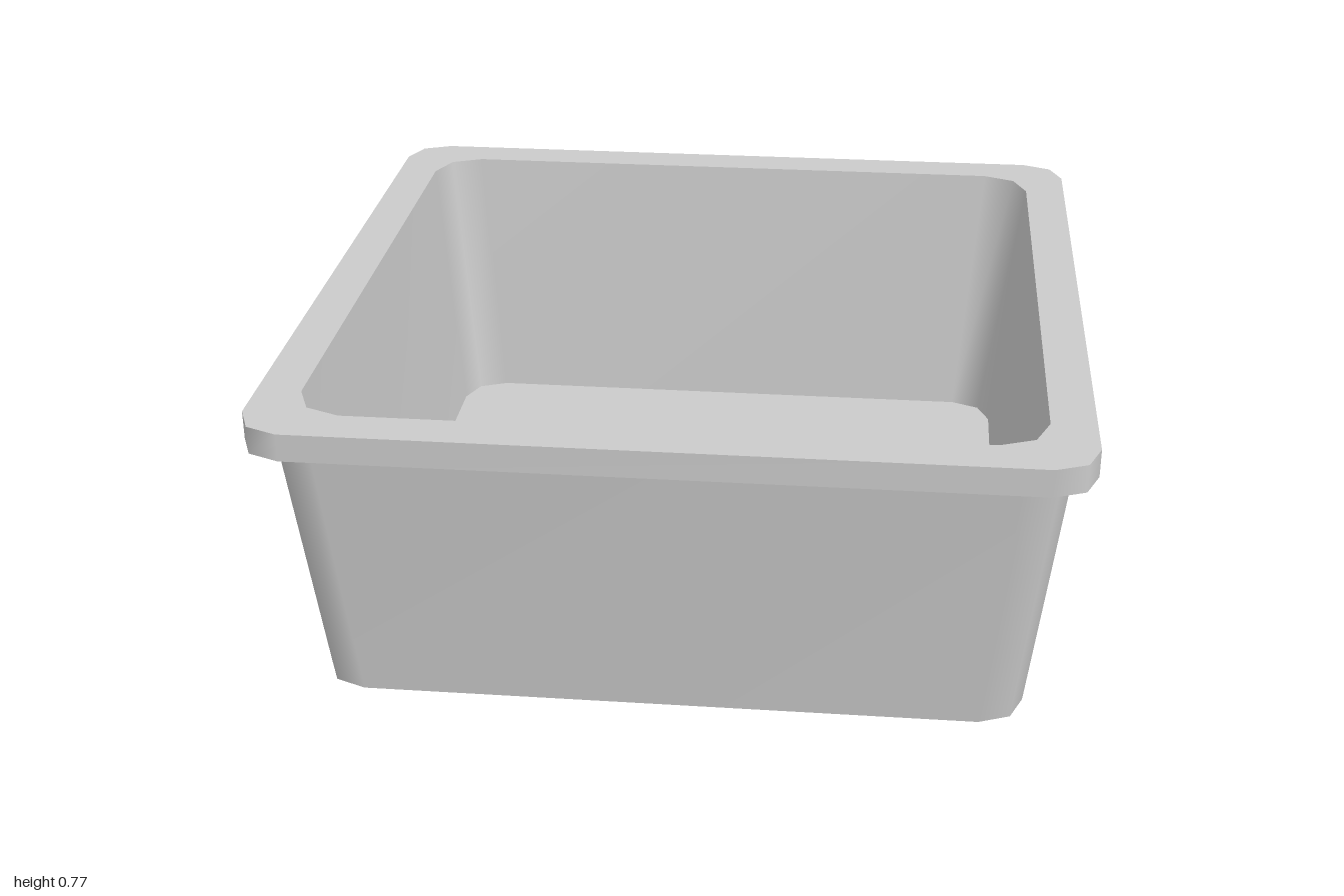
import * as THREE from 'three';

const CORNER_STEPS = 2;

// Rounded-square loop at height y: half = half width, r = corner radius
function ring([half, y, r]) {
  const points = [];
  for (let c = 0; c < 4; c++) {
    const mid = (c + 0.5) * Math.PI / 2;
    const cx = Math.sign(Math.cos(mid)) * (half - r);
    const cz = Math.sign(Math.sin(mid)) * (half - r);
    for (let s = 0; s <= CORNER_STEPS; s++) {
      const a = (c + s / CORNER_STEPS) * Math.PI / 2;
      points.push(cx + r * Math.cos(a), y, cz + r * Math.sin(a));
    }
  }
  return points;
}

// Band of faces between two loops, smooth around its corners
function band(from, to, name, material) {
  const n = 4 * (CORNER_STEPS + 1);
  const index = [];
  for (let i = 0; i < n; i++) {
    const j = (i + 1) % n;
    index.push(i, n + i, j, n + i, n + j, j);
  }
  const geometry = new THREE.BufferGeometry();
  geometry.setAttribute('position', new THREE.Float32BufferAttribute([...ring(from), ...ring(to)], 3));
  geometry.setIndex(index);
  geometry.computeVertexNormals();
  const mesh = new THREE.Mesh(geometry, material);
  mesh.name = name;
  return mesh;
}

export function createModel() {
  const model = new THREE.Group();
  model.name = 'squareTub';
  const material = new THREE.MeshStandardMaterial({ color: 0xcccccc });

  // Profile from the underside, up the outside, over the rim and down to the floor
  const profile = [
    [0, 0, 0],
    [0.875, 0, 0.11],
    [0.95, 0.7, 0.12],
    [1, 0.7, 0.11],
    [1, 0.77, 0.11],
    [0.89, 0.77, 0.12],
    [0.82, 0.04, 0.11],
    [0, 0.04, 0],
  ];
  const names = ['underside', 'outerWall', 'rimUnderside', 'rimEdge', 'rimTop', 'innerWall', 'floor'];
  names.forEach((name, i) => model.add(band(profile[i], profile[i + 1], name, material)));
  return model;
}
